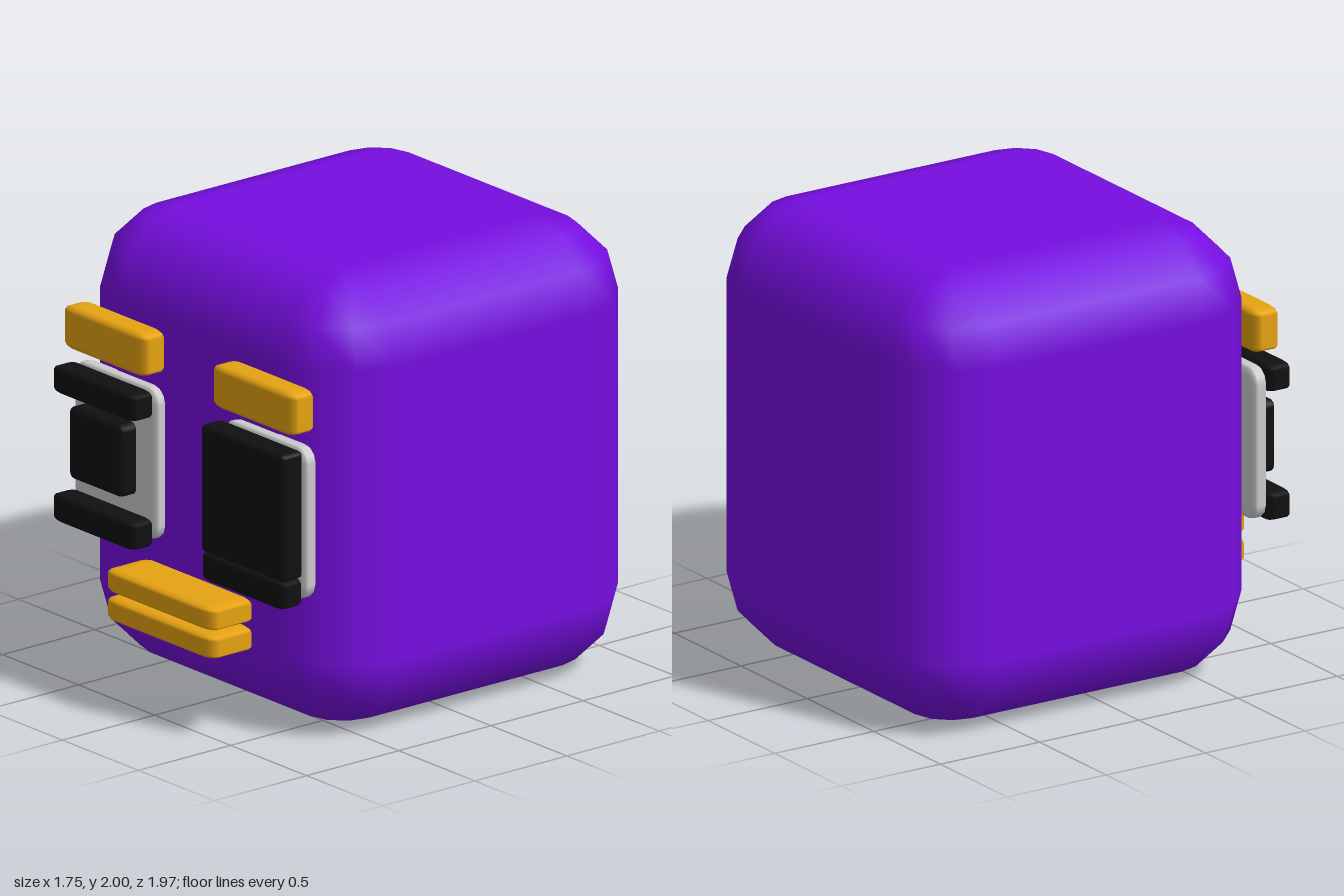
import * as THREE from 'three';

const paint = (color) => new THREE.MeshStandardMaterial({ color });

// Box between two corners with bevelled edges (three steps per quarter turn, one radius per axis).
// A sphere grid is split at its quarters and spread to the eight corners of the box.
function bevelBox(min, max, radii) {
  const lo = new THREE.Vector3(...min), hi = new THREE.Vector3(...max), r = new THREE.Vector3(...radii);
  const centre = lo.clone().add(hi).multiplyScalar(0.5);
  const core = hi.clone().sub(lo).multiplyScalar(0.5).sub(r);
  const geo = new THREE.SphereGeometry(1, 16, 9);
  const pos = geo.attributes.position, nor = geo.attributes.normal;
  const n = new THREE.Vector3();
  for (let row = 0; row < 10; row++) {
    const cap = row === 0 || row === 9;
    const up = row < 5 ? 1 : -1;
    const lat = cap ? (row ? 6 : 0) : row - (row < 5 ? 1 : 2);
    const theta = lat * Math.PI / 6;
    for (let col = 0; col < 17; col++) {
      const quarter = Math.floor(col / 4) % 4;
      const phi = (quarter * 3 + col % 4) * Math.PI / 6;
      const mid = (quarter + 0.5) * Math.PI / 2;
      const spread = cap ? 0 : 1; // the first and last rows close the flat top and bottom
      n.set(-Math.cos(phi) * Math.sin(theta), Math.cos(theta), Math.sin(phi) * Math.sin(theta));
      const i = row * 17 + col;
      pos.setXYZ(i,
        centre.x - Math.sign(Math.cos(mid)) * core.x * spread + n.x * r.x,
        centre.y + up * core.y + n.y * r.y,
        centre.z + Math.sign(Math.sin(mid)) * core.z * spread + n.z * r.z);
      n.divide(r).normalize();
      nor.setXYZ(i, n.x, n.y, n.z);
    }
  }
  return geo;
}

export function createModel() {
  const group = new THREE.Group();
  const purple = paint(0x760ee0), gold = paint(0xe6a212), black = paint(0x101010), white = paint(0xcccccc);

  const add = (name, material, min, max, radii) => {
    const mesh = new THREE.Mesh(bevelBox(min, max, radii), material);
    mesh.name = name;
    group.add(mesh);
  };
  // Part given on the +x side, placed on either side
  const addSide = (name, side, material, [x0, y0, z0], [x1, y1, z1], radii) => {
    const xs = [side * x0, side * x1].sort((a, b) => a - b);
    add((side > 0 ? 'left' : 'right') + name, material, [xs[0], y0, z0], [xs[1], y1, z1], radii);
  };

  // Head block
  add('head', purple, [-0.875, 0, -0.985], [0.875, 2, 0.765], [0.35, 0.35, 0.35]);

  // Brows and eyes; the left upper lid is closed, the right one open
  for (const side of [-1, 1]) {
    addSide('Brow', side, gold, [0.215, 1.4, 0.75], [0.765, 1.59, 0.878], [0.07, 0.025, 0.03]);
    addSide('Eyeball', side, white, [0.215, 0.66, 0.74], [0.765, 1.335, 0.815], [0.07, 0.07, 0.02]);
    addSide('Pupil', side, black, [0.345, 0.84, 0.79], [0.7, 1.16, 0.895], [0.03, 0.03, 0.02]);
    addSide('LowerLid', side, black, [0.215, 0.645, 0.818], [0.765, 0.77, 0.935], [0.06, 0.02, 0.025]);
    addSide('UpperLid', side, black, [0.215, side > 0 ? 0.77 : 1.215, 0.818], [0.765, 1.335, 0.935],
      [side > 0 ? 0.03 : 0.06, 0.02, 0.025]);
  }

  // Mouth
  add('upperLip', gold, [-0.36, 0.45, 0.74], [0.36, 0.555, 0.985], [0.08, 0.02, 0.04]);
  add('lowerLip', gold, [-0.36, 0.325, 0.74], [0.36, 0.43, 0.985], [0.08, 0.02, 0.04]);

  return group;
}
